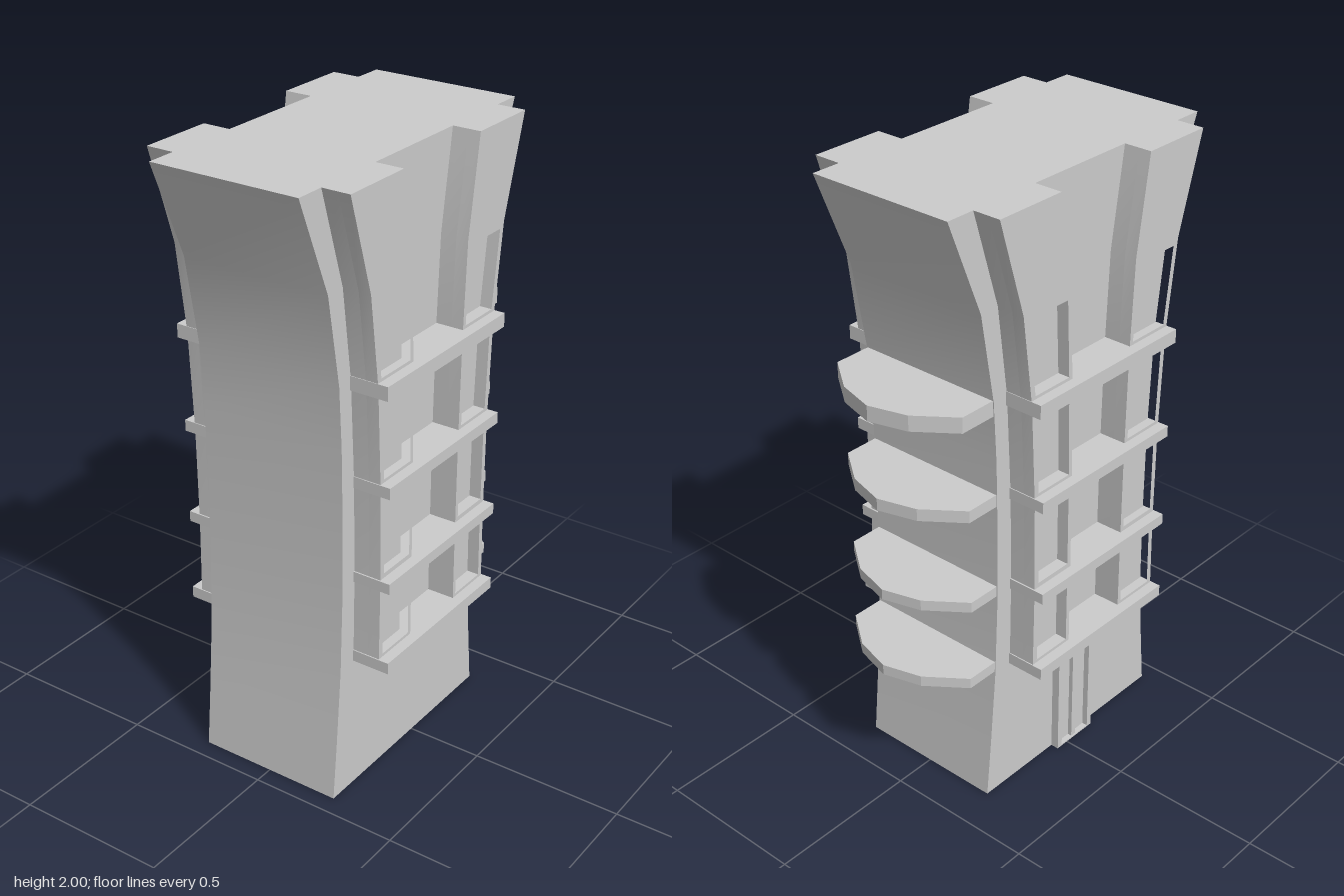
import * as THREE from 'three';
import { toCreasedNormals } from 'three/addons/utils/BufferGeometryUtils.js';

const CX = -0.038; // centre line of the tower
const material = new THREE.MeshStandardMaterial({ color: 0xcccccc });

// half widths as [height, half width]
const CORE = [[0, 0.4], [0.2, 0.381], [0.45, 0.36], [0.7, 0.35], [0.95, 0.348], [1.2, 0.352], [1.4, 0.363], [1.69, 0.413], [2, 0.538]];
const OUTER = [[0.457, 0.293], [0.75, 0.288], [1.07, 0.291], [1.4, 0.307], [1.69, 0.345], [2, 0.44]];
const INNER = [[0.457, 0.122], [0.75, 0.122], [1.07, 0.124], [1.4, 0.131], [1.69, 0.145], [2, 0.184 + 0.01]];

function widthAt(table, y) {
  for (let i = 1; i < table.length; i++) {
    const [y0, w0] = table[i - 1], [y1, w1] = table[i];
    if (y <= y1) return w0 + (w1 - w0) * (y - y0) / (y1 - y0);
  }
  return table[table.length - 1][1];
}

const outline = (pts) => pts.map(([x, y]) => new THREE.Vector2(x, y));

function add(parent, name, geometry) {
  const mesh = new THREE.Mesh(geometry, material);
  mesh.name = name;
  parent.add(mesh);
  return mesh;
}

// extrude a shape between two z values
function slab(shape, zA, zB) {
  const g = new THREE.ExtrudeGeometry(shape, { depth: Math.abs(zB - zA), bevelEnabled: false });
  g.translate(0, 0, Math.min(zA, zB));
  return toCreasedNormals(g, 0.3);
}

export function createModel() {
  const model = new THREE.Group();
  model.name = 'tower';

  // flared main body
  const right = CORE.map(([y, w]) => [CX + w, y]);
  const left = CORE.map(([y, w]) => [CX - w, y]).reverse();
  add(model, 'body', slab(new THREE.Shape(outline([...right, ...left])), -0.248, 0.248));

  const panels = [[0.505, 0.72], [0.785, 1.04], [1.1, 1.36], [1.425, 1.67]];
  const ledges = [[0.457, 0.495, 0.296], [0.735, 0.77, 0.293], [1.053, 1.09, 0.295], [1.37, 1.415, 0.311]];

  for (const dir of [1, -1]) {
    const facade = new THREE.Group();
    facade.name = dir > 0 ? 'frontFacade' : 'backFacade';
    model.add(facade);

    // curved pilasters with recessed window panels
    for (const s of [1, -1]) {
      const pts = outline([
        ...OUTER.map(([y, w]) => [CX + s * w, y]),
        ...INNER.map(([y, w]) => [CX + s * w, y]).reverse(),
      ]);
      const side = s > 0 ? 'left' : 'right';
      add(facade, side + 'PilasterBack', slab(new THREE.Shape(pts), dir * 0.2, dir * 0.3));

      const face = new THREE.Shape(pts);
      for (const [y0, y1] of panels) {
        const corner = (table, y, inset) => [CX + s * (widthAt(table, y) + inset), y];
        face.holes.push(new THREE.Path(outline([
          corner(OUTER, y0, -0.018), corner(OUTER, y1, -0.018),
          corner(INNER, y1, 0.014), corner(INNER, y0, 0.014),
        ])));
      }
      add(facade, side + 'PilasterFace', slab(face, dir * 0.3, dir * 0.34));
    }

    // horizontal ledges
    for (const [y0, y1, w] of ledges) {
      const ledge = add(facade, 'ledge', new THREE.BoxGeometry(2 * w, y1 - y0, 0.135));
      ledge.position.set(CX, (y0 + y1) / 2, dir * 0.3075);
    }
  }

  // faceted balconies on the left side: bottom, top, tip
  const balconies = [[0.46, 0.495, 0.555], [0.735, 0.77, 0.547], [1.05, 1.09, 0.552], [1.354, 1.405, 0.575]];
  for (const [y0, y1, tip] of balconies) {
    const half = [[0.25, 0.245], [tip - 0.125, 0.245], [tip - 0.035, 0.125]];
    const shape = new THREE.Shape(outline([
      ...half, [tip, 0], ...half.map(([x, z]) => [x, -z]).reverse(),
    ]));
    const g = slab(shape, 0, y1 - y0);
    g.rotateX(-Math.PI / 2);
    g.translate(0, y0, 0);
    add(model, 'balcony', g);
  }

  // arched double door on the back
  const door = new THREE.Group();
  door.name = 'door';
  model.add(door);
  const arch = (w, spring, top) => outline([
    [-w, 0], [w, 0], [w, spring], [w * 0.55, top - 0.012], [0, top], [-w * 0.55, top - 0.012], [-w, spring],
  ]);
  const frame = new THREE.Shape(arch(0.085, 0.37, 0.43));
  frame.holes.push(new THREE.Path(outline([
    [-0.065, 0.004], [0.065, 0.004], [0.065, 0.362], [0.036, 0.398], [0, 0.409], [-0.036, 0.398], [-0.065, 0.362],
  ])));
  add(door, 'doorFrame', slab(frame, -0.24, -0.275));
  add(door, 'doorLeaves', slab(new THREE.Shape(arch(0.075, 0.365, 0.42)), -0.24, -0.256));
  const post = add(door, 'doorPost', new THREE.BoxGeometry(0.02, 0.41, 0.03));
  post.position.set(0, 0.205, -0.255);
  door.position.x = CX;

  return model;
}
